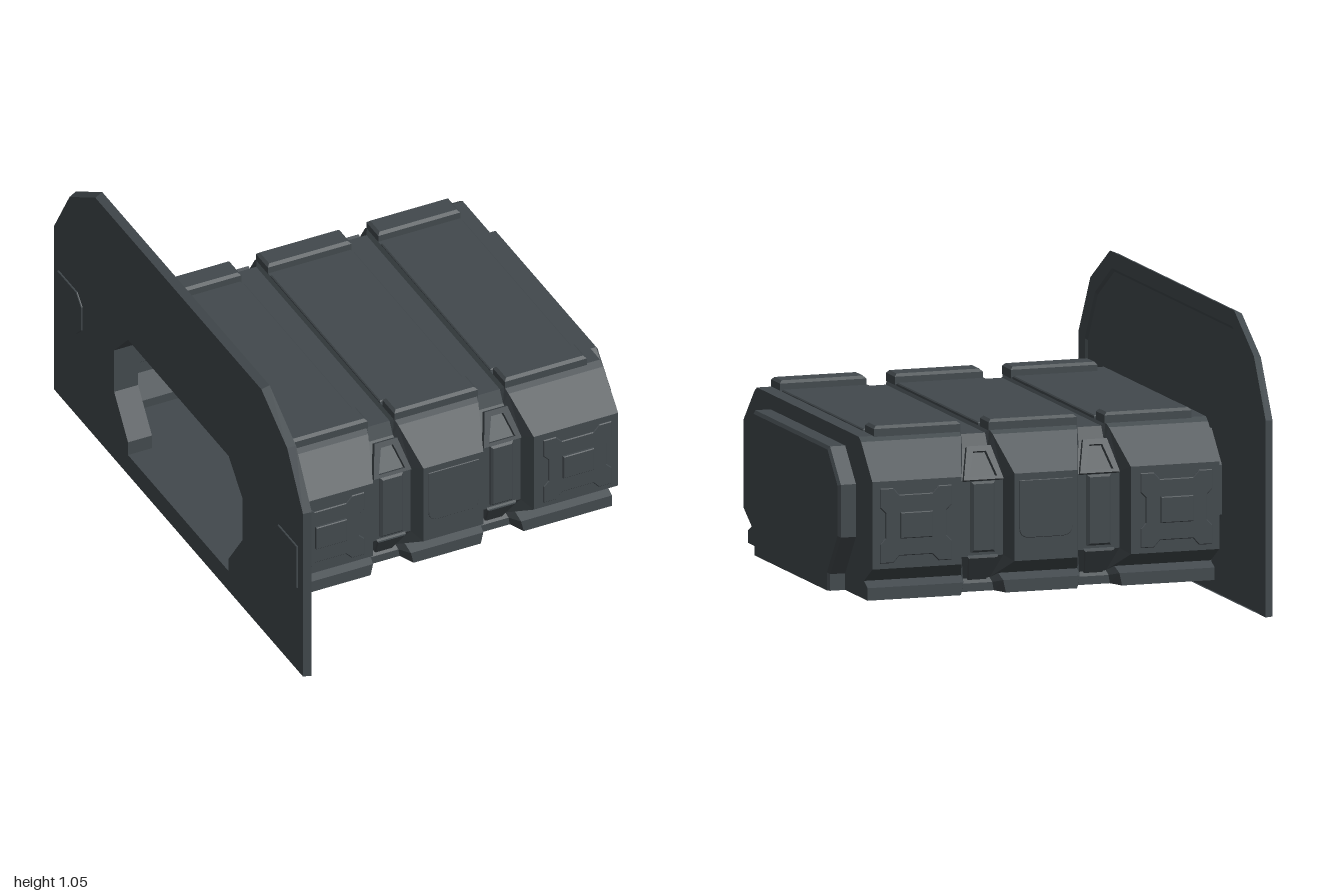
import * as THREE from 'three';

const steel = new THREE.MeshStandardMaterial({ color: 0x42494d, side: THREE.DoubleSide, flatShading: true });
steel.name = 'darkSteel';

function mesh(geometry, name, parent) {
  const m = new THREE.Mesh(geometry, steel);
  m.name = name;
  parent.add(m);
  return m;
}

// Closed outline from a half profile of [z, y] points, bottom to top
const mirror = (half) => [...half, ...half.map(([z, y]) => [-z, y]).reverse()];
const ringAt = (outline, x) => outline.map(([z, y]) => [x, y, z]);
const toShape = (pts) => new THREE.Shape(pts.map(([a, b]) => new THREE.Vector2(a, b)));

// Skin joining closed rings of [x, y, z] points that follow each other along x
function loft(rings) {
  const n = rings[0].length, index = [];
  for (let s = 0; s < rings.length - 1; s++) {
    for (let i = 0; i < n; i++) {
      const j = (i + 1) % n, a = s * n + i, b = s * n + j;
      index.push(a, a + n, b + n, a, b + n, b);
    }
  }
  const g = new THREE.BufferGeometry();
  g.setAttribute('position', new THREE.Float32BufferAttribute(rings.flat(2), 3));
  g.setIndex(index);
  const flat = g.toNonIndexed();
  flat.computeVertexNormals();
  return flat;
}

// Flat wall across the x axis, facing dir, with an optional opening
function wall(outline, x, dir, opening) {
  const shape = toShape(outline);
  if (opening) shape.holes.push(toShape(opening));
  return new THREE.ShapeGeometry(shape).rotateY(dir * Math.PI / 2).translate(x, 0, 0);
}

// Bevelled plate lying in the xy plane, rising along z
function plate(shape, depth, bevel) {
  return new THREE.ExtrudeGeometry(shape, {
    depth: depth - bevel, bevelEnabled: bevel > 0, bevelThickness: bevel,
    bevelSize: bevel, bevelOffset: -bevel, bevelSegments: 1, curveSegments: 4
  });
}
const rect = (x0, x1, y0, y1) => toShape([[x0, y0], [x1, y0], [x1, y1], [x0, y1]]);
const trapezoid = (w0, w1, y0, y1) => [[-w0, y0], [w0, y0], [w1, y1], [-w1, y1]];

const CHANNELS = [-0.207, 0.23];
const X0 = -0.64, X1 = 0.665;

// Cross-sections of the raised bays and of the channels between them
const BAY = [[0.64, 0.08], [0.64, 0.125], [0.6, 0.145], [0.69, 0.2], [0.69, 0.515], [0.57, 0.64], [0.545, 0.655]];
const CHANNEL = [[0.58, 0.08], [0.58, 0.11], [0.565, 0.125], [0.63, 0.215], [0.63, 0.49], [0.55, 0.59], [0.53, 0.64]];
// Half widths of each channel at its rim and at its floor, per profile point
const RIM = [0.085, 0.075, 0.07, 0.1, 0.1, 0.06, 0.055];
const BED = [0.06, 0.055, 0.05, 0.078, 0.078, 0.048, 0.045];

const TUNNEL = mirror([[0.4, 0.085], [0.4, 0.14], [0.51, 0.29], [0.51, 0.47], [0.4, 0.585]]);
const CAP = mirror([[0.4, 0.08], [0.4, 0.14], [0.515, 0.29], [0.515, 0.48], [0.4, 0.6]]);
const CAP_FACE = mirror([[0.388, 0.08], [0.388, 0.145], [0.503, 0.295], [0.503, 0.475], [0.395, 0.588]]);

function hull(parent) {
  const bay = mirror(BAY), bed = mirror(CHANNEL);
  const shifted = (outline, widths, x, side) => {
    const w = [...widths, ...[...widths].reverse()];
    return outline.map(([z, y], i) => [x + side * w[i], y, z]);
  };
  const rings = [ringAt(bay, X0)];
  for (const x of CHANNELS) {
    rings.push(shifted(bay, RIM, x, -1), shifted(bed, BED, x, -1),
      shifted(bed, BED, x, 1), shifted(bay, RIM, x, 1));
  }
  rings.push(ringAt(bay, X1));
  mesh(loft(rings), 'hullShell', parent);
  mesh(wall(bay, X0, -1, TUNNEL), 'entranceWall', parent);
  mesh(wall(bay, X1, 1), 'endWall', parent);
}

function endCap(parent) {
  mesh(loft([ringAt(CAP, X1), ringAt(CAP, 0.722), ringAt(CAP_FACE, 0.73)]), 'endCapSides', parent);
  mesh(wall(CAP_FACE, 0.73, 1), 'endCapFace', parent);
}

// Tall bulkhead with a slanted edge, a rim and a doorway
function bulkhead(parent) {
  const outer = mirror([[1, 0], [1, 0.71], [0.875, 0.92], [0.665, 1.05]]);
  const back = mirror([[0.99, 0], [0.99, 0.705], [0.865, 0.912], [0.66, 1.038]]);
  const inner = mirror([[0.935, 0], [0.935, 0.69], [0.825, 0.875], [0.645, 0.99]]);
  const panel = mirror([[0.925, 0], [0.925, 0.685], [0.818, 0.866], [0.64, 0.978]]);
  mesh(loft([ringAt(back, -0.735), ringAt(outer, -0.705)]), 'bulkheadEdge', parent);
  mesh(loft([ringAt(outer, -0.705), ringAt(inner, -0.705), ringAt(panel, -0.713)]), 'bulkheadRim', parent);
  mesh(wall(panel, -0.713, 1, TUNNEL), 'bulkheadPanel', parent);
  mesh(wall(back, -0.735, -1, TUNNEL), 'bulkheadBack', parent);
  mesh(loft([ringAt(TUNNEL, -0.735), ringAt(TUNNEL, X0)]), 'entranceTunnel', parent);

  // Tabs on the back face
  const tab = [[0.76, 0.4], [0.8, 0.36], [0.95, 0.36], [0.95, 0.54], [0.8, 0.54], [0.76, 0.5]];
  for (const s of [-1, 1]) {
    const g = plate(toShape(tab.map(([z, y]) => [s * z, y])), 0.006, 0.002);
    mesh(g.rotateY(-Math.PI / 2).translate(-0.735, 0, 0), 'bulkheadTab', parent);
  }
}

// Long roof panels with a raised pad at each end
function roof(parent) {
  for (const [a, b] of [[-0.585, -0.258], [-0.153, 0.178], [0.285, 0.61]]) {
    const lay = (z0, z1, depth, bevel, name) =>
      mesh(plate(rect(a, b, z0, z1), depth, bevel).rotateX(-Math.PI / 2).translate(0, 0.65, 0), name, parent);
    lay(-0.435, 0.435, 0.012, 0.004, 'roofPanel');
    lay(0.455, 0.55, 0.04, 0.01, 'roofPad');
    lay(-0.55, -0.455, 0.04, 0.01, 'roofPad');
  }
}

// Details of one long side, modelled on +z
function side(parent) {
  // Notched panel with a central block on each end bay
  const quarter = [[0.135, 0.065], [0.135, 0.135], [0.085, 0.135], [0.062, 0.11]];
  const edge = [[0.115, 0.045], ...quarter];
  const half = [...edge.map(([x, y]) => [x, -y]).reverse(), ...edge];
  const notched = [...half, ...half.map(([x, y]) => [-x, y]).reverse()];
  for (const x of [-0.478, 0.502]) {
    mesh(plate(toShape(notched), 0.006, 0.003).translate(x, 0.355, 0.689), 'sidePanel', parent);
    mesh(plate(rect(-0.061, 0.061, -0.047, 0.047), 0.016, 0.003).translate(x, 0.355, 0.689), 'sideBlock', parent);
  }

  // Rounded panel on the middle bay
  const round = new THREE.Shape();
  round.moveTo(-0.088, 0.49).lineTo(-0.088, 0.32);
  round.quadraticCurveTo(-0.088, 0.282, -0.05, 0.282).lineTo(0.075, 0.282);
  round.quadraticCurveTo(0.113, 0.282, 0.113, 0.32).lineTo(0.113, 0.49);
  mesh(plate(round, 0.005, 0.002).translate(0, 0, 0.688), 'middlePanel', parent);

  // Open strut above and wedge plate below in each channel
  for (const x of CHANNELS) {
    const frame = toShape(trapezoid(0.075, 0.045, 0, 0.125));
    frame.holes.push(toShape(trapezoid(0.052, 0.024, 0.012, 0.105)));
    const strut = mesh(plate(frame, 0.018, 0), 'channelStrut', parent);
    strut.position.set(x, 0.485, 0.629);
    strut.rotation.x = -0.45;
    const wedge = mesh(plate(toShape(trapezoid(0.035, 0.057, -0.115, 0)), 0.014, 0.004), 'channelWedge', parent);
    wedge.position.set(x, 0.22, 0.629);
    wedge.rotation.x = 0.62;
    mesh(plate(rect(-0.045, 0.045, 0.23, 0.485), 0.015, 0.008).translate(x, 0, 0.629), 'channelRib', parent);
  }
}

export function createModel() {
  const model = new THREE.Group();
  model.name = 'corridorModule';
  hull(model);
  endCap(model);
  bulkhead(model);
  roof(model);
  for (const s of [1, -1]) {
    const group = new THREE.Group();
    group.name = s > 0 ? 'frontSide' : 'backSide';
    group.scale.z = s;
    side(group);
    model.add(group);
  }
  return model;
}
